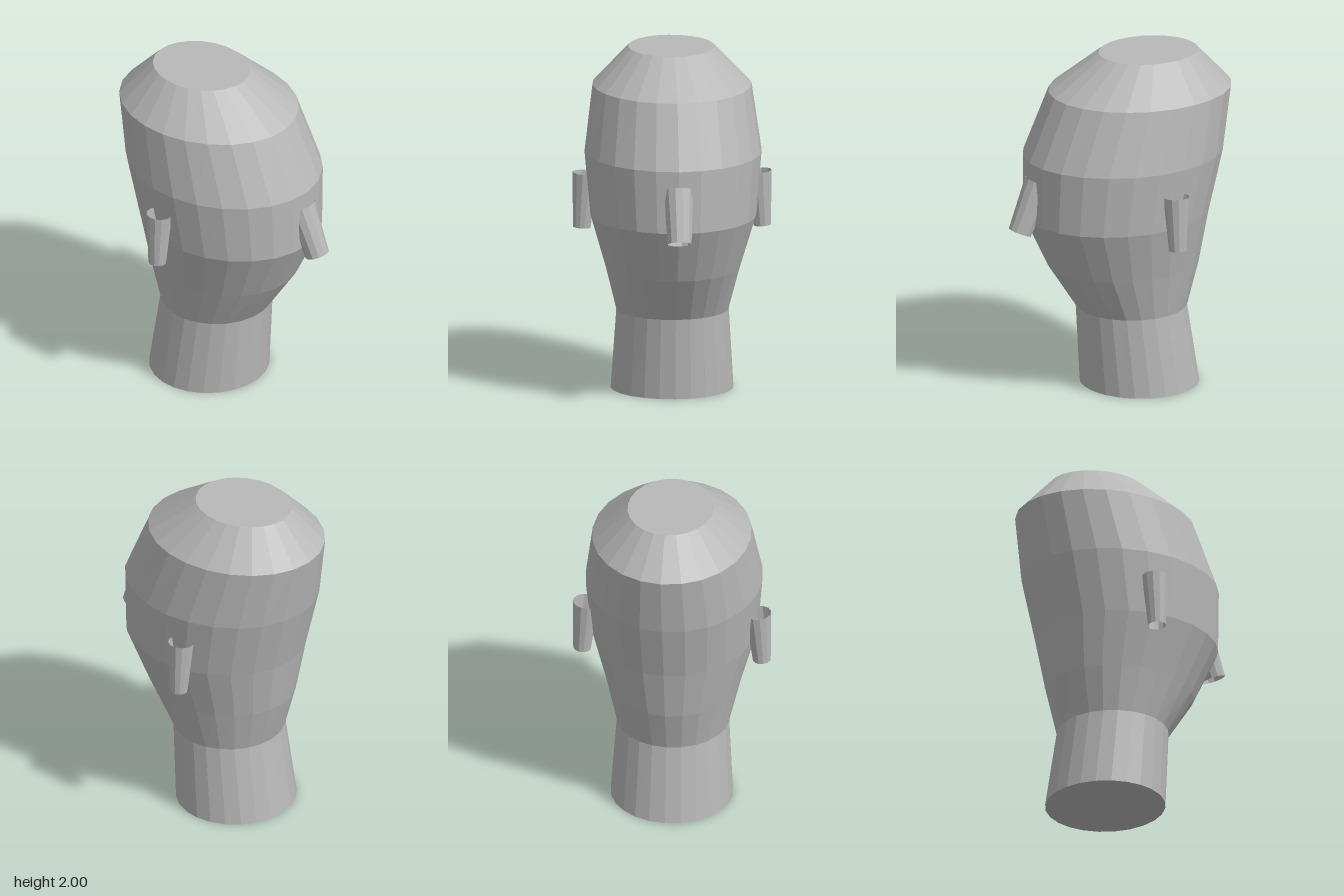
import * as THREE from 'three';

const grey = new THREE.MeshStandardMaterial({ color: 0xb8b8b8, flatShading: true, side: THREE.DoubleSide });
grey.name = 'grey';

// Skin of elliptical rings [y, half width, front z, back z], bottom to top, capped at both ends
function loftRings(rings, sides) {
  const pos = [], index = [];
  for (const [y, rx, front, back] of rings) {
    for (let i = 0; i < sides; i++) {
      const a = (i / sides) * Math.PI * 2;
      pos.push(Math.sin(a) * rx, y, (front + back) / 2 + Math.cos(a) * (front - back) / 2);
    }
  }
  for (let r = 0; r < rings.length - 1; r++) {
    for (let i = 0; i < sides; i++) {
      const a = r * sides + i, b = r * sides + (i + 1) % sides;
      index.push(a, b, b + sides, a, b + sides, a + sides);
    }
  }
  const top = (rings.length - 1) * sides;
  for (let i = 1; i < sides - 1; i++) {
    index.push(0, i + 1, i, top, top + i, top + i + 1);
  }
  const geo = new THREE.BufferGeometry();
  geo.setAttribute('position', new THREE.Float32BufferAttribute(pos, 3));
  geo.setIndex(index);
  const flat = geo.toNonIndexed();
  flat.computeVertexNormals();
  return flat;
}

// Open tapered tube between two points
function taperedTube(name, top, bottom, rTop, rBottom) {
  const a = new THREE.Vector3(...top), b = new THREE.Vector3(...bottom);
  const geo = new THREE.CylinderGeometry(rTop, rBottom, a.distanceTo(b), 12, 1, true);
  geo.rotateY(Math.PI / 12);
  const mesh = new THREE.Mesh(geo, grey);
  mesh.name = name;
  mesh.quaternion.setFromUnitVectors(new THREE.Vector3(0, 1, 0), a.clone().sub(b).normalize());
  mesh.position.copy(a).add(b).multiplyScalar(0.5);
  return mesh;
}

export function createModel() {
  const group = new THREE.Group();
  group.name = 'mannequinHead';

  // Neck, jaw, face and crown in one skin
  const head = new THREE.Mesh(loftRings([
    [0, 0.355, 0.205, -0.485],
    [0.475, 0.325, 0.235, -0.41],
    [0.74, 0.39, 0.41, -0.485],
    [1.055, 0.48, 0.56, -0.54],
    [1.42, 0.512, 0.56, -0.63],
    [1.79, 0.46, 0.402, -0.687],
    [2, 0.25, 0.1, -0.49],
  ], 24), grey);
  head.name = 'headAndNeck';
  group.add(head);

  // Nose, sunk into the face at its upper end
  group.add(taperedTube('nose', [0, 1.3, 0.5], [0, 1.008, 0.622], 0.088, 0.07));

  // Ears, mirrored
  for (const [name, s] of [['leftEar', 1], ['rightEar', -1]]) {
    group.add(taperedTube(name, [s * 0.5, 1.27, -0.14], [s * 0.522, 0.95, -0.14], 0.076, 0.052));
  }
  return group;
}
